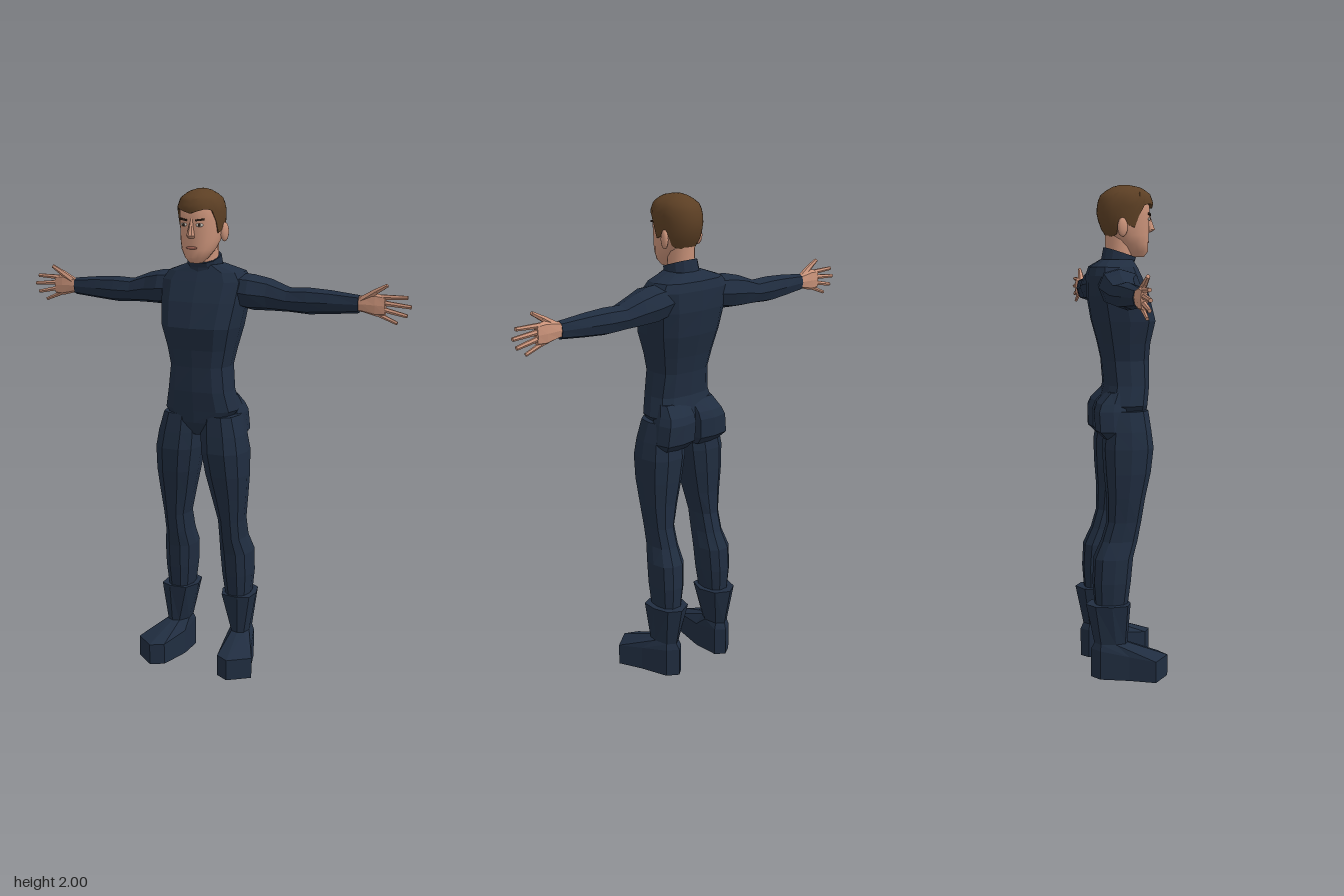
import * as THREE from 'three';
import { toCreasedNormals } from 'three/addons/utils/BufferGeometryUtils.js';

const mat = (name, color) => {
  const m = new THREE.MeshStandardMaterial({ color });
  m.name = name;
  return m;
};

// Skin a list of equal-length rings, closing both ends; flip mirrors it in x
function skinRings(rings, flip = false, crease = 0) {
  const n = rings[0].length, pos = [], idx = [];
  const sx = flip ? -1 : 1;
  const add = p => pos.push(p[0] * sx, p[1], p[2]) / 3 - 1;
  const tri = (a, b, c) => (flip ? idx.push(a, c, b) : idx.push(a, b, c));
  rings.forEach(r => r.forEach(add));
  const mid = r => [0, 1, 2].map(k => r.reduce((s, p) => s + p[k], 0) / n);
  const last = (rings.length - 1) * n;
  const c0 = add(mid(rings[0])), c1 = add(mid(rings[rings.length - 1]));
  for (let i = 0; i < n; i++) {
    const j = (i + 1) % n;
    tri(c0, i, j);
    tri(c1, last + j, last + i);
    for (let k = 0; k < last; k += n) {
      tri(k + i, k + n + i, k + j);
      tri(k + j, k + n + i, k + n + j);
    }
  }
  const g = new THREE.BufferGeometry();
  g.setAttribute('position', new THREE.Float32BufferAttribute(pos, 3));
  g.setIndex(idx);
  if (crease) return toCreasedNormals(g, crease);
  const flat = g.toNonIndexed();
  flat.computeVertexNormals();
  return flat;
}

const pow = (v, e) => Math.sign(v) * Math.pow(Math.abs(v), e);

// Rows are [t, uMin, uMax, vMin, vMax]: t=y,u=x,v=z or, for axis x, t=x,u=z,v=y
function rowRing([t, u0, u1, v0, v1], axis, n, e) {
  return Array.from({ length: n }, (_, i) => {
    const a = (i / n) * Math.PI * 2;
    const u = (u0 + u1) / 2 + ((u1 - u0) / 2) * pow(Math.cos(a), e);
    const v = (v0 + v1) / 2 + ((v1 - v0) / 2) * pow(Math.sin(a), e);
    return axis === 'y' ? [u, t, v] : [t, v, u];
  });
}
const loft = (rows, { axis = 'y', n = 8, e = 0.8, flip = false, crease = 0 } = {}) =>
  skinRings(rows.map(r => rowRing(r, axis, n, e)), flip, crease);
const centred = rows => rows.map(([y, w, b, f]) => [y, -w, w, b, f]);

// Piecewise-linear lookup in rows keyed by their first entry
function lookup(rows, x) {
  let i = 0;
  while (i < rows.length - 2 && x > rows[i + 1][0]) i++;
  const a = rows[i], b = rows[i + 1];
  const t = THREE.MathUtils.clamp((x - a[0]) / (b[0] - a[0]), 0, 1);
  return a.map((v, k) => v + (b[k] - v) * t);
}

export function createModel() {
  const model = new THREE.Group();
  const suit = mat('navy suit', 0x202d40), skin = mat('skin', 0xc99279);
  const hairMat = mat('brown hair', 0x5c3f24), white = mat('eye white', 0xd8d2c8);
  const dark = mat('dark brown', 0x2e2018), lip = mat('lip', 0xa9695a);
  const put = (name, geo, m, parent = model) => {
    const mesh = new THREE.Mesh(geo, m);
    mesh.name = name;
    parent.add(mesh);
    return mesh;
  };

  // Torso
  put('torso', loft(centred([
    [1.015, 0.03, -0.03, 0.075], [1.07, 0.115, -0.08, 0.102], [1.12, 0.155, -0.085, 0.106],
    [1.2, 0.136, -0.065, 0.115], [1.3, 0.125, -0.075, 0.115], [1.37, 0.14, -0.09, 0.12],
    [1.46, 0.163, -0.115, 0.14], [1.56, 0.178, -0.13, 0.112], [1.64, 0.185, -0.13, 0.078],
    [1.675, 0.16, -0.12, 0.062], [1.705, 0.075, -0.075, 0.05],
  ]), { n: 12, e: 0.68 }), suit);

  // Collar, higher at the back
  const collarRing = (y, slope, w, b, f) =>
    rowRing([y, -w, w, b, f], 'y', 12, 0.9).map(([x, yy, z]) => [x, yy - z * slope, z]);
  put('collar', skinRings([
    collarRing(1.66, 0, 0.08, -0.085, 0.06), collarRing(1.7, 0.1, 0.07, -0.075, 0.062),
    collarRing(1.732, 0.32, 0.066, -0.066, 0.068), collarRing(1.728, 0.32, 0.055, -0.056, 0.056),
  ]), suit);

  for (const s of [1, -1]) {
    const side = s > 0 ? 'left' : 'right', flip = s < 0;

    // Seat
    put(side + 'Seat', loft([
      [0.985, 0.02, 0.15, -0.08, 0], [1.02, 0.004, 0.172, -0.117, 0.01],
      [1.1, 0, 0.162, -0.12, 0.01], [1.13, 0, 0.15, -0.108, 0.01], [1.175, 0, 0.134, -0.062, 0],
    ], { e: 0.5, flip }), suit);

    // Leg
    put(side + 'Leg', loft([
      [0.25, 0.09, 0.18, -0.125, 0], [0.4, 0.07, 0.195, -0.137, 0.02], [0.5, 0.064, 0.195, -0.132, 0.03],
      [0.57, 0.072, 0.178, -0.1, 0.05], [0.65, 0.073, 0.178, -0.076, 0.065],
      [0.75, 0.048, 0.19, -0.076, 0.082], [0.85, 0.025, 0.198, -0.085, 0.105],
      [0.95, 0.008, 0.198, -0.09, 0.118], [1.02, 0.005, 0.186, -0.08, 0.11], [1.1, 0.01, 0.163, -0.08, 0.1],
    ], { n: 10, e: 0.8, flip }), suit);

    // Boot: toes turned outward, flared cuff
    const outline = [[0.22, 0], [0.265, 0.1], [0.18, 0.167], [0.125, 0.138],
      [0.095, 0], [0.098, -0.115], [0.135, -0.145], [0.182, -0.115]];
    const tops = [0.1, 0.088, 0.088, 0.09, 0.105, 0.12, 0.12, 0.12];
    const ankle = [[0.187, -0.05], [0.18, -0.01], [0.155, 0.003], [0.125, -0.005],
      [0.1, -0.05], [0.108, -0.11], [0.14, -0.132], [0.175, -0.11]];
    const cuff = [[0.21, -0.07], [0.205, -0.005], [0.16, 0.016], [0.085, 0.01],
      [0.058, -0.06], [0.078, -0.135], [0.14, -0.166], [0.19, -0.135]];
    const at = (pts, y) => pts.map(([x, z], i) => [x, Array.isArray(y) ? y[i] : y, z]);
    put(side + 'Boot', skinRings([at(outline, 0), at(outline, tops),
      at(ankle, 0.145), at(cuff, 0.31)], flip), suit);

    // Arm
    put(side + 'Arm', loft([
      [0.12, -0.11, 0.05, 1.54, 1.67], [0.2, -0.122, 0.05, 1.525, 1.668], [0.27, -0.12, 0.02, 1.525, 1.652],
      [0.35, -0.108, 0.006, 1.525, 1.622], [0.43, -0.105, 0, 1.52, 1.625],
      [0.52, -0.095, -0.012, 1.527, 1.62], [0.635, -0.076, -0.028, 1.538, 1.608],
    ], { axis: 'x', e: 0.85, flip }), suit);

    // Hand
    const hand = new THREE.Group();
    hand.name = side + 'Hand';
    model.add(hand);
    put('palm', loft([
      [0.61, -0.07, -0.035, 1.548, 1.6], [0.65, -0.074, -0.034, 1.543, 1.608],
      [0.7, -0.074, -0.036, 1.53, 1.618], [0.738, -0.068, -0.042, 1.532, 1.612],
    ], { axis: 'x', e: 0.7, flip }), skin, hand);
    const finger = (name, a, b, r0, r1) => {
      const p = new THREE.Vector3(a[0] * s, a[1], a[2]), q = new THREE.Vector3(b[0] * s, b[1], b[2]);
      const d = q.clone().sub(p);
      const g = new THREE.CylinderGeometry(r1, r0, d.length(), 6).toNonIndexed();
      g.computeVertexNormals();
      const m = put(name, g, skin, hand);
      m.position.copy(p).add(q).multiplyScalar(0.5);
      m.quaternion.setFromUnitVectors(new THREE.Vector3(0, 1, 0), d.normalize());
    };
    finger('indexFinger', [0.72, 1.605, -0.055], [0.825, 1.608, -0.055], 0.011, 0.008);
    finger('middleFinger', [0.725, 1.583, -0.055], [0.84, 1.573, -0.055], 0.011, 0.008);
    finger('ringFinger', [0.72, 1.56, -0.055], [0.825, 1.538, -0.055], 0.011, 0.008);
    finger('littleFinger', [0.7, 1.543, -0.055], [0.787, 1.508, -0.055], 0.01, 0.007);
    finger('thumbBase', [0.645, 1.59, -0.052], [0.705, 1.628, -0.046], 0.016, 0.012);
    finger('thumbTip', [0.7, 1.625, -0.046], [0.747, 1.652, -0.044], 0.012, 0.008);

    // Ear, eye and brow
    const blob = (name, m, c, r, yaw = 0) => {
      const mesh = put(side + name, new THREE.SphereGeometry(1, 10, 8), m);
      mesh.position.set(c[0] * s, c[1], c[2]);
      mesh.scale.set(...r);
      mesh.rotation.y = yaw * s;
    };
    blob('Ear', skin, [0.086, 1.832, -0.004], [0.013, 0.038, 0.022], -0.3);
    blob('Eye', white, [0.034, 1.864, 0.115], [0.015, 0.007, 0.0048], 0.25);
    blob('Iris', dark, [0.034, 1.864, 0.118], [0.006, 0.006, 0.004], 0.25);
    const brow = put(side + 'Brow', new THREE.BoxGeometry(0.036, 0.007, 0.009), dark);
    brow.position.set(0.036 * s, 1.884, 0.116);
    brow.rotation.set(0, 0.3 * s, 0.12 * s);
  }

  // Neck and head
  put('neck', loft(centred([[1.67, 0.055, -0.055, 0.05], [1.8, 0.056, -0.06, 0.05]]),
    { n: 12, e: 1, crease: 0.8 }), skin);
  put('head', loft(centred([
    [1.714, 0.026, 0.05, 0.1], [1.735, 0.046, 0.02, 0.117], [1.765, 0.066, -0.01, 0.117],
    [1.8, 0.076, -0.05, 0.12], [1.84, 0.081, -0.076, 0.121], [1.88, 0.084, -0.083, 0.123],
    [1.93, 0.083, -0.083, 0.122], [1.965, 0.068, -0.062, 0.1],
  ]), { n: 16, e: 0.9, crease: 0.7 }), skin);
  put('nose', loft([
    [1.812, -0.012, 0.012, 0.105, 0.126], [1.823, -0.016, 0.016, 0.105, 0.147],
    [1.855, -0.009, 0.009, 0.105, 0.135], [1.888, -0.008, 0.008, 0.105, 0.124],
  ], { n: 8, e: 1, crease: 0.7 }), skin);
  const mouth = put('mouth', new THREE.SphereGeometry(1, 10, 8), lip);
  mouth.position.set(0, 1.775, 0.116);
  mouth.scale.set(0.024, 0.006, 0.0048);

  // Hair cap: rings rise from an uneven hairline to the crown
  const shape = centred([
    [1.78, 0.07, -0.045, 0.12], [1.83, 0.084, -0.077, 0.125], [1.88, 0.088, -0.093, 0.128],
    [1.93, 0.089, -0.09, 0.137], [1.965, 0.077, -0.074, 0.124], [1.99, 0.045, -0.036, 0.088],
    [2.0, 0.014, 0, 0.04],
  ]);
  const hairline = [[0, 1.908], [0.35, 1.918], [0.7, 1.926], [1.0, 1.918], [1.2, 1.87], [1.35, 1.83],
    [1.55, 1.835], [1.7, 1.868], [1.95, 1.845], [2.2, 1.8], [Math.PI, 1.79]];
  const n = 32, steps = 9, rings = [];
  for (let k = -1; k <= steps; k++) {
    const t = Math.max(k, 0) / steps;
    rings.push(Array.from({ length: n }, (_, i) => {
      const a = (i / n) * Math.PI * 2;
      const phi = Math.acos(THREE.MathUtils.clamp(Math.sin(a), -1, 1));
      const low = lookup(hairline, phi)[1];
      const y = low + (2.0 - low) * (1 - Math.pow(1 - t, 1.5));
      const p = rowRing(lookup(shape, y), 'y', n, 0.92)[i];
      return k < 0 ? [p[0] * 0.88, y, 0.02 + (p[2] - 0.02) * 0.88] : [p[0], y, p[2]];
    }));
  }
  put('hair', skinRings(rings, false, 0.6), hairMat);

  return model;
}
